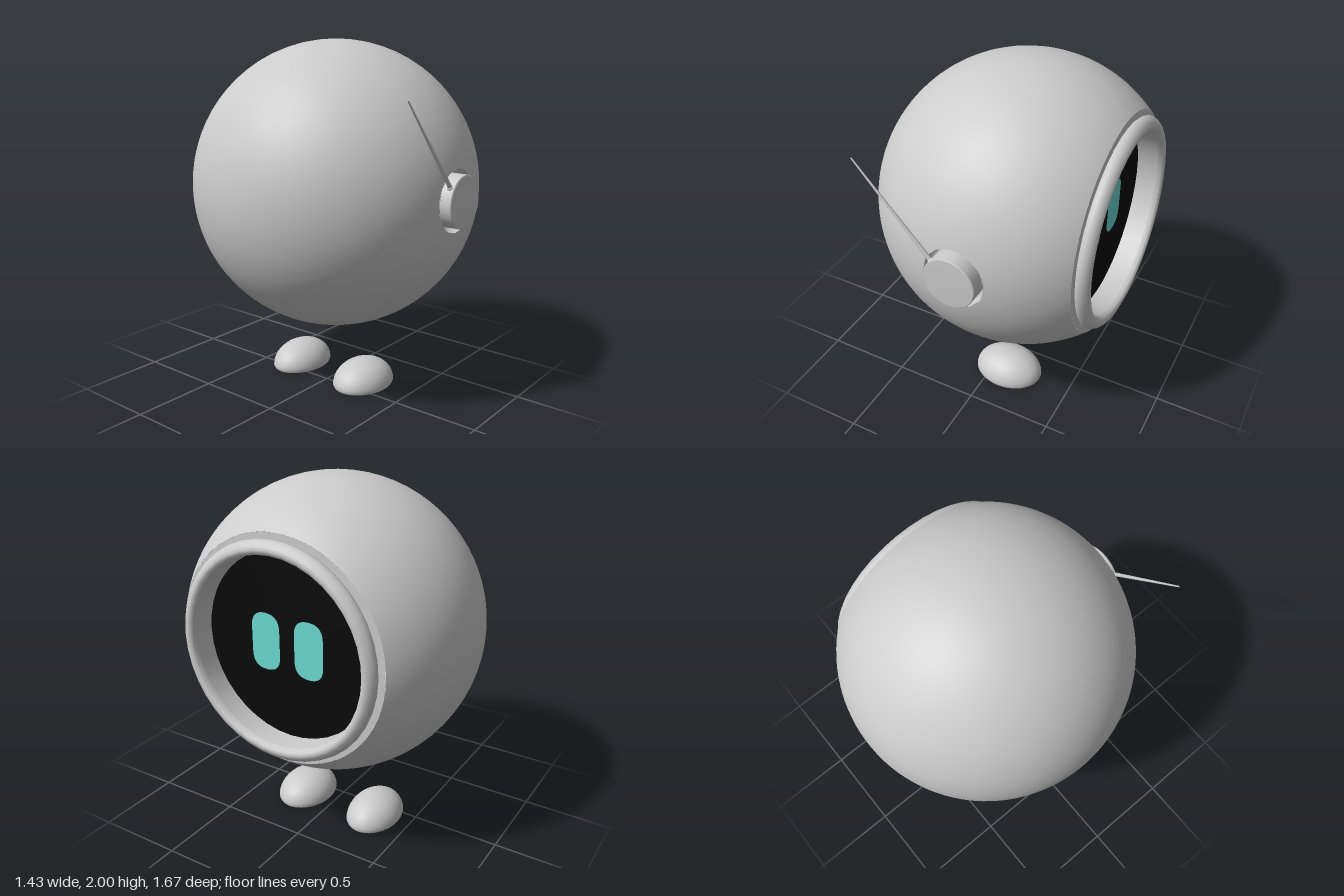
import * as THREE from 'three';

const CENTRE = new THREE.Vector3(0.102, 1.183, -0.017);
const R = 0.817;          // body radius
const FACE_X = 0.54;      // body is cut off here, local to its centre
const SOCKET_R = 0.17;    // round hole for the side knob

const mat = (color) => new THREE.MeshStandardMaterial({ color, side: THREE.DoubleSide });
const grey = mat(0xcccccc), black = mat(0x0a0a0a), cyan = mat(0x6adcd4);

function add(parent, name, geometry, material = grey) {
  const mesh = new THREE.Mesh(geometry, material);
  mesh.name = name;
  parent.add(mesh);
  return mesh;
}

const lathe = (pts, segments) =>
  new THREE.LatheGeometry(pts.map(([r, y]) => new THREE.Vector2(r, y)), segments);
// lathe axis turned from +y to +x, or from +y to +z
const latheX = (pts, segments) => lathe(pts, segments).rotateZ(-Math.PI / 2);
const latheZ = (pts, segments) => lathe(pts, segments).rotateX(Math.PI / 2);

// Sphere open at the face, with a round hole snapped into its +z side
function shellGeometry() {
  const pts = [], rows = 44, end = Math.asin(FACE_X / R);
  for (let i = 0; i <= rows; i++) {
    const a = -Math.PI / 2 + (end + Math.PI / 2) * (i / rows);
    pts.push([Math.max(0, R * Math.cos(a)), R * Math.sin(a)]);
  }
  const geo = latheX(pts, 72);
  const pos = geo.attributes.position, normal = geo.attributes.normal, inside = [];
  const v = new THREE.Vector3();
  for (let i = 0; i < pos.count; i++) {
    v.fromBufferAttribute(pos, i);
    const rho = Math.hypot(v.x, v.y);
    inside[i] = v.z > 0 && rho < SOCKET_R;
    if (inside[i]) {
      const a = Math.atan2(v.y, v.x);
      v.set(SOCKET_R * Math.cos(a), SOCKET_R * Math.sin(a), Math.sqrt(R * R - SOCKET_R * SOCKET_R));
      pos.setXYZ(i, v.x, v.y, v.z);
    }
    v.normalize();
    normal.setXYZ(i, v.x, v.y, v.z);
  }
  const kept = [], index = geo.index.array;
  for (let i = 0; i < index.length; i += 3) {
    const tri = [index[i], index[i + 1], index[i + 2]];
    if (!tri.every((k) => inside[k])) kept.push(...tri);
  }
  geo.setIndex(kept);
  return geo;
}

// Upright rounded rectangle
function eyeGeometry(w, h, r) {
  const s = new THREE.Shape();
  s.moveTo(-w, -h + r);
  s.lineTo(-w, h - r);
  s.quadraticCurveTo(-w, h, -w + r, h);
  s.lineTo(w - r, h);
  s.quadraticCurveTo(w, h, w, h - r);
  s.lineTo(w, -h + r);
  s.quadraticCurveTo(w, -h, w - r, -h);
  s.lineTo(-w + r, -h);
  s.quadraticCurveTo(-w, -h, -w, -h + r);
  return new THREE.ShapeGeometry(s, 10).rotateY(Math.PI / 2);
}

function createHead() {
  const head = new THREE.Group();
  head.name = 'head';
  head.position.copy(CENTRE);

  add(head, 'bodyShell', shellGeometry());

  // Face: shoulder, rim with a rounded lip, and the recess wall
  add(head, 'faceShoulder', latheX([[0.613, 0.54], [0.56, 0.542]], 48));
  add(head, 'faceRim', latheX([
    [0.565, 0.535], [0.58, 0.55], [0.585, 0.565], [0.577, 0.588], [0.557, 0.606],
    [0.54, 0.611], [0.525, 0.608], [0.514, 0.596], [0.51, 0.575],
  ], 40));
  add(head, 'recessWall', latheX([[0.51, 0.575], [0.508, 0.455]], 40));

  const screen = add(head, 'screen', new THREE.CircleGeometry(0.508, 40).rotateY(Math.PI / 2), black);
  screen.position.x = 0.458;

  for (const [name, z] of [['eyeLeft', 0.137], ['eyeRight', -0.128]]) {
    const eye = add(head, name, eyeGeometry(0.087, 0.157, 0.086), cyan);
    eye.position.set(0.464, 0.005, z);
  }

  // Side knob sitting in its socket
  add(head, 'knobSocket', latheZ([[SOCKET_R, 0.8], [SOCKET_R, 0.745], [0.13, 0.745]], 36));
  add(head, 'knobSide', latheZ([[0.143, 0.74], [0.143, 0.845]], 36));
  add(head, 'knobCap', latheZ([[0.143, 0.845], [0.137, 0.852], [0, 0.852]], 36));

  // Tapered antenna from the knob's edge
  const from = new THREE.Vector3(-0.105, 0.085, 0.822);
  const to = new THREE.Vector3(-0.513, 0.55, 0.823);
  const dir = to.clone().sub(from);
  const rod = add(head, 'antenna', new THREE.CylinderGeometry(0.004, 0.012, dir.length(), 12));
  rod.position.copy(from).addScaledVector(dir, 0.5);
  rod.quaternion.setFromUnitVectors(new THREE.Vector3(0, 1, 0), dir.normalize());
  add(head, 'antennaJoint', new THREE.SphereGeometry(0.019, 16, 12)).position.copy(from);
  return head;
}

// Half-ellipsoid foot with a flat sole
function createFoot(name, z, halfWidth) {
  const foot = new THREE.Group();
  foot.name = name;
  const dome = [[0.97, 0]];
  for (let i = 0; i <= 14; i++) {
    const a = (i / 14) * Math.PI / 2;
    dome.push([Math.max(0, Math.cos(a)), 0.012 + 0.138 * Math.sin(a)]);
  }
  add(foot, 'footDome', lathe(dome, 40));
  add(foot, 'footSole', lathe([[0, 0], [0.97, 0]], 40));
  foot.scale.set(0.208, 1, halfWidth);
  foot.position.set(CENTRE.x, 0, z);
  return foot;
}

export function createModel() {
  const model = new THREE.Group();
  model.name = 'roundRobot';
  model.add(createHead());
  model.add(createFoot('footLeft', 0.197, 0.161));
  model.add(createFoot('footRight', -0.282, 0.153));
  return model;
}
